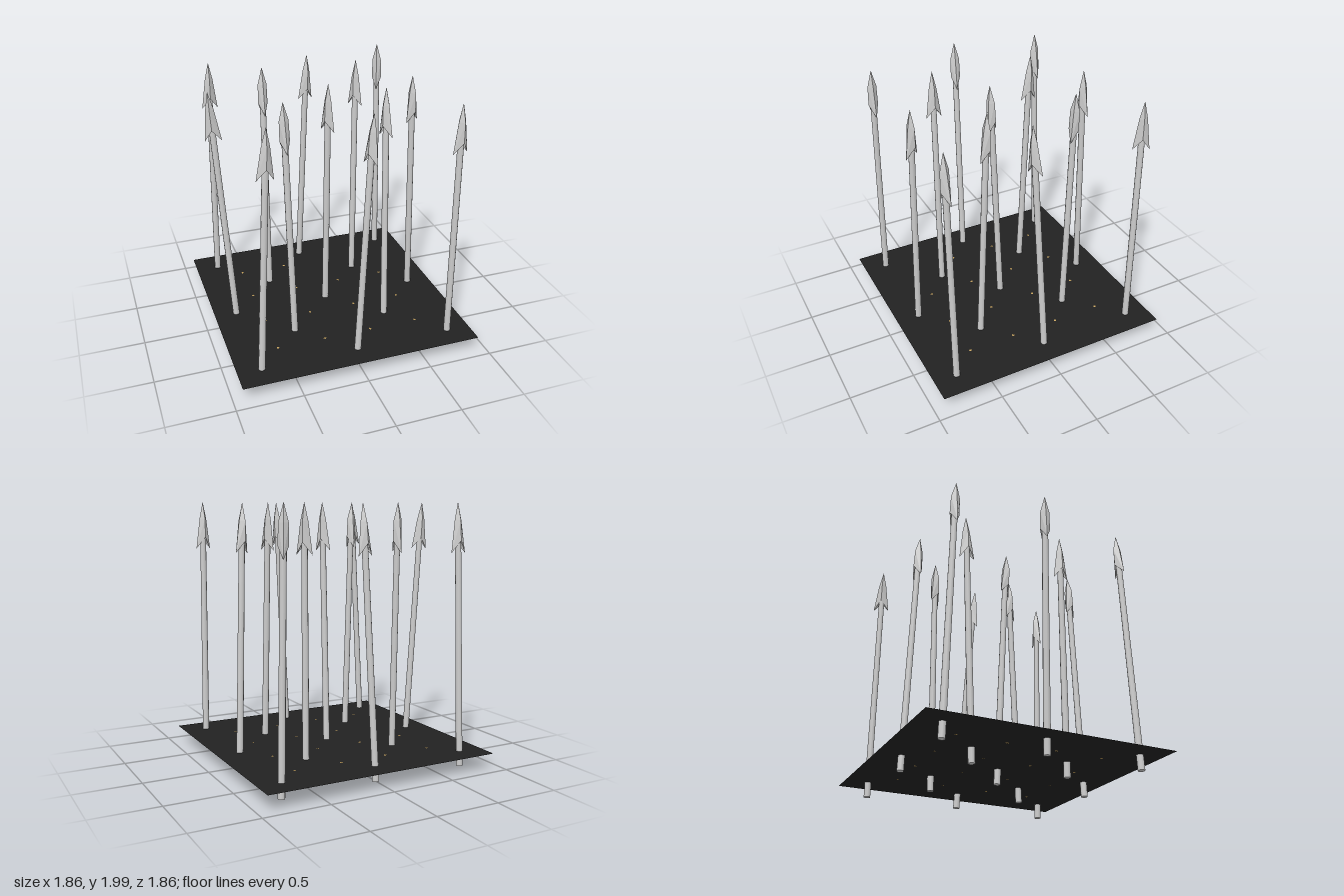
import * as THREE from 'three';

const steel = new THREE.MeshStandardMaterial({ color: 0xcccccc });
steel.name = 'steel';
const darkPlate = new THREE.MeshStandardMaterial({ color: 0x222222, side: THREE.DoubleSide });
darkPlate.name = 'dark plate';
const gold = new THREE.MeshStandardMaterial({ color: 0xc8a35c });
gold.name = 'gold';

const PLATE_Y = 0.115;
const LENGTH = 1.99;

// Barbed head: four-sided rings [wide half, wide y, ridge half, ridge y] from tip to socket
function headGeometry() {
  const rings = [
    [0.001, LENGTH, 0.001, LENGTH],
    [0.03, 1.86, 0.035, 1.86],
    [0.062, 1.62, 0.038, 1.71],
    [0.02, 1.74, 0.02, 1.74],
  ].map(([w, wy, r, ry]) => [[w, wy, 0], [0, ry, r], [-w, wy, 0], [0, ry, -r]]);
  const pos = [];
  for (let k = 0; k < rings.length - 1; k++) {
    const up = rings[k], low = rings[k + 1];
    for (let i = 0; i < 4; i++) {
      const j = (i + 1) % 4;
      // mirrored diagonals keep both halves symmetric
      if (i % 2 === 0) pos.push(...up[i], ...up[j], ...low[i], ...up[j], ...low[j], ...low[i]);
      else pos.push(...up[i], ...low[j], ...low[i], ...up[i], ...up[j], ...low[j]);
    }
  }
  const geo = new THREE.BufferGeometry();
  geo.setAttribute('position', new THREE.Float32BufferAttribute(pos, 3));
  geo.computeVertexNormals();
  return geo;
}

// Each spear: base x, base z, tip x, tip z, turn of the head in degrees
const spears = [
  [-0.75, -0.75, -0.725, -0.685, 0],
  [0, -0.75, 0.07, -0.66, -10],
  [0.75, -0.75, 0.715, -0.75, -65],
  [-0.375, -0.375, -0.36, -0.445, 90],
  [0.375, -0.375, 0.39, -0.395, 48],
  [-0.75, 0, -0.865, -0.026, 14],
  [0, 0, -0.005, 0.085, 55],
  [0.75, 0, 0.655, 0.1, -25],
  [-0.375, 0.375, -0.425, 0.355, 90],
  [0.375, 0.375, 0.363, 0.29, 62],
  [-0.75, 0.75, -0.65, 0.75, 0],
  [0, 0.75, 0.09, 0.735, 60],
  [0.75, 0.75, 0.725, 0.77, -10],
];

export function createModel() {
  const model = new THREE.Group();
  model.name = 'spearTrap';

  // Thin floor plate the spears pass through
  const plate = new THREE.Mesh(new THREE.PlaneGeometry(1.86, 1.86).rotateX(-Math.PI / 2), darkPlate);
  plate.name = 'floorPlate';
  plate.position.y = PLATE_Y;
  model.add(plate);

  // Leaning spears
  const shaftGeo = new THREE.CylinderGeometry(0.023, 0.026, 1.76, 10).translate(0, 0.88, 0);
  const headGeo = headGeometry();
  const up = new THREE.Vector3(0, 1, 0);
  for (const [bx, bz, tx, tz, turn] of spears) {
    const spear = new THREE.Group();
    spear.name = 'spear';
    spear.position.set(bx, 0, bz);
    spear.quaternion.setFromUnitVectors(up, new THREE.Vector3(tx - bx, LENGTH, tz - bz).normalize());
    const shaft = new THREE.Mesh(shaftGeo, steel);
    shaft.name = 'shaft';
    const head = new THREE.Mesh(headGeo, steel);
    head.name = 'spearHead';
    head.rotation.y = -THREE.MathUtils.degToRad(turn);
    spear.add(shaft, head);
    model.add(spear);
  }

  // Tiny gold studs between the spears
  const studGeo = new THREE.OctahedronGeometry(0.012).scale(1, 0.3, 1);
  for (const x of [-0.565, -0.19, 0.185, 0.565]) {
    for (const z of [-0.575, -0.2, 0.18, 0.55]) {
      const stud = new THREE.Mesh(studGeo, gold);
      stud.name = 'stud';
      stud.position.set(x, PLATE_Y, z);
      model.add(stud);
    }
  }
  return model;
}
